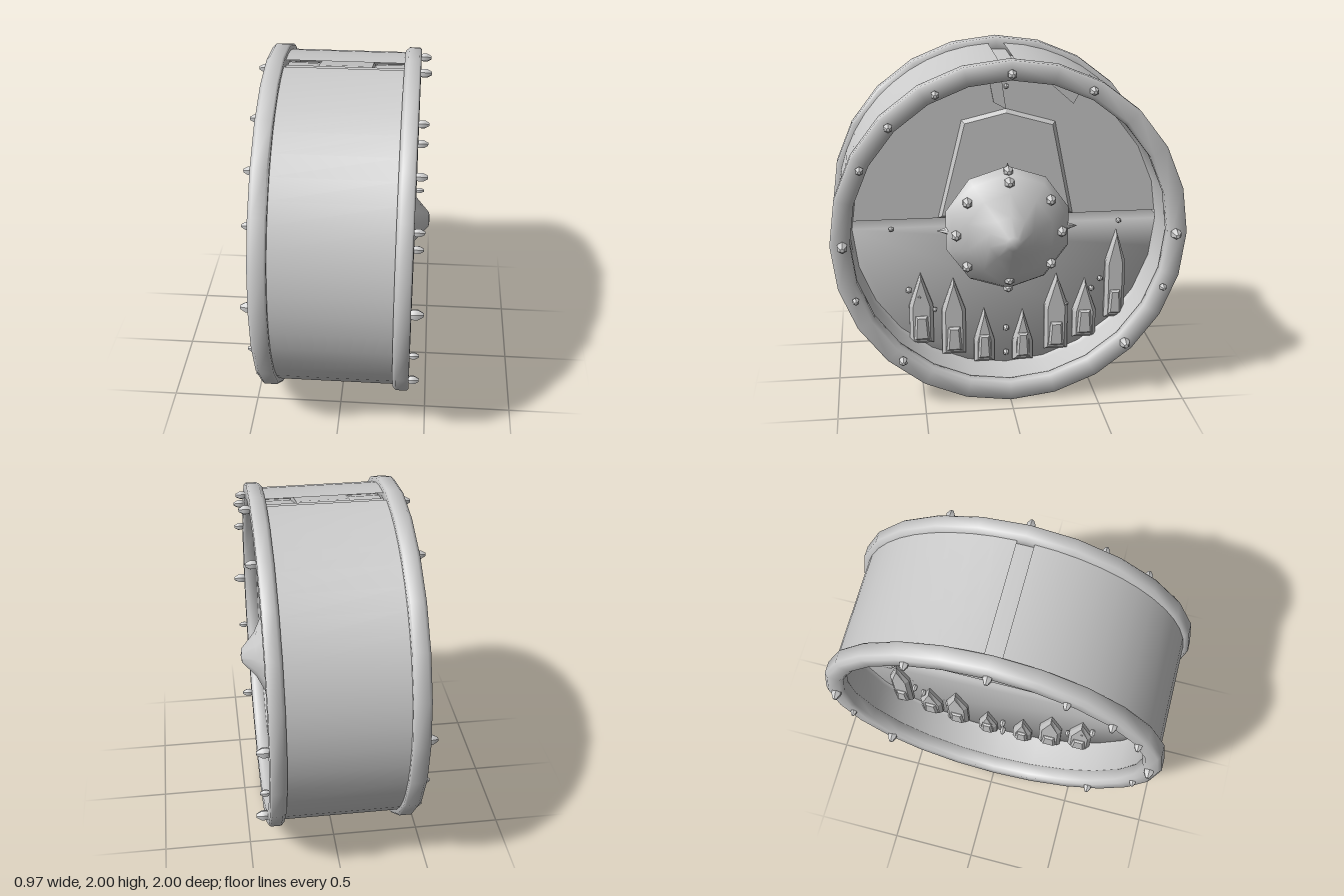
import * as THREE from 'three';
import { toCreasedNormals } from 'three/addons/utils/BufferGeometryUtils.js';

const grey = new THREE.MeshStandardMaterial({ color: 0xcccccc, side: THREE.DoubleSide });

function add(group, name, geometry) {
  const mesh = new THREE.Mesh(geometry, grey);
  mesh.name = name;
  group.add(mesh);
  return mesh;
}

// Revolves [radius, x] points around the x axis; start 0 is the top
function turned(points, segments, start = 0, length = Math.PI * 2) {
  const g = new THREE.LatheGeometry(points.map(([r, x]) => new THREE.Vector2(r, x)), segments, start - Math.PI / 2, length);
  return g.rotateZ(-Math.PI / 2);
}

// Extrudes a [z, y] outline along x, from x0 to x1
function slab(points, x0, x1, bevel = 0) {
  const shape = new THREE.Shape(points.map(([z, y]) => new THREE.Vector2(-z, y)));
  const g = new THREE.ExtrudeGeometry(shape, {
    depth: x1 - x0 - 2 * bevel, bevelEnabled: bevel > 0, bevelSize: bevel, bevelThickness: bevel, bevelOffset: -bevel, bevelSegments: 1,
  });
  return g.rotateY(Math.PI / 2).translate(x0 + bevel, 0, 0);
}

export function createModel() {
  const model = new THREE.Group();
  const wheel = new THREE.Group();
  wheel.name = 'wheel';
  wheel.position.y = 1;
  model.add(wheel);

  // Rounded rims on both ends
  for (const [x0, x1] of [[-0.44, -0.34], [0.31, 0.40]]) {
    const c = 0.02;
    const profile = [[0.89, x0 + c], [0.91, x0], [0.98, x0], [1, x0 + c], [1, x1 - c / 2], [0.99, x1], [0.91, x1], [0.89, x1 - c], [0.89, x0 + c]];
    add(wheel, 'rim', toCreasedNormals(turned(profile, 24), 1.1));
  }

  // Drum wall with a narrow slot along the top, and the floor of the slot
  add(wheel, 'drumWall', turned([[0.985, -0.36], [0.965, -0.35], [0.965, 0.32], [0.985, 0.33]], 48, 0.05, Math.PI * 2 - 0.095));
  add(wheel, 'slotFloor', turned([[0.93, -0.36], [0.93, 0.33]], 2, -0.06, 0.12));

  // Liner on both sides of the partition, rounded into its corner
  add(wheel, 'drumLiner', turned([[0.88, -0.172], [0.897, -0.19], [0.897, -0.38]], 24));
  add(wheel, 'drumLiner', turned([[0.897, 0.35], [0.897, 0.15], [0.88, 0.132]], 24));

  // Two thick half discs with a gap between them
  const half = (sign, cut) => {
    const a = Math.asin(cut / 0.9), pts = [];
    for (let i = 0; i <= 16; i++) {
      const t = a + (Math.PI - 2 * a) * i / 16;
      pts.push([Math.cos(t) * 0.9, Math.sin(t) * 0.9 * sign]);
    }
    return slab(pts, -0.17, 0.13);
  };
  add(wheel, 'upperPartition', half(1, 0.05));
  add(wheel, 'lowerPartition', toCreasedNormals(half(-1, 0), 1.7));

  // Low tapered housing above the hub, with broken ridges over it
  add(wheel, 'hubHousing', slab([[0.39, 0.05], [-0.39, 0.05], [-0.28, 0.6], [0, 0.68], [0.25, 0.62]], 0.09, 0.15, 0.02));
  add(wheel, 'ridge', slab([[0.10, 0.88], [0.03, 0.88], [0, 0.68], [0.07, 0.72]], 0.1, 0.145));
  add(wheel, 'ridge', slab([[-0.2, 0.86], [-0.42, 0.77], [-0.38, 0.7]], 0.1, 0.145));

  // Faceted domed hub
  add(wheel, 'hub', toCreasedNormals(turned([[0.3, 0.12], [0.36, 0.18], [0.37, 0.21], [0.34, 0.27], [0.25, 0.34], [0.13, 0.40], [0.04, 0.48], [0, 0.485]], 10), 0.7));

  // Small spikes on the hub's edge
  for (const a of [0, Math.PI / 2, Math.PI]) {
    const spike = add(wheel, 'hubSpike', new THREE.ConeGeometry(0.045, 0.12, 6));
    spike.position.set(0.21, Math.sin(a) * 0.33, Math.cos(a) * 0.345);
    spike.rotation.x = Math.PI / 2 - a;
  }

  // Pointed pickets on both faces of the lower partition: [z, half width, top, bottom]
  const pickets = [
    [0.50, 0.07, -0.28, -0.72], [0.31, 0.07, -0.32, -0.80], [0.13, 0.06, -0.52, -0.86], [-0.10, 0.06, -0.54, -0.86],
    [-0.30, 0.07, -0.32, -0.80], [-0.47, 0.07, -0.36, -0.73], [-0.65, 0.06, -0.06, -0.61],
  ];
  for (const [z, w, top, bottom] of pickets) {
    const outline = [[z - w, bottom], [z - w, top - 0.2], [z, top], [z + w, top - 0.2], [z + w, bottom]];
    add(wheel, 'picket', slab(outline, -0.21, 0.17, 0.02));
    // Raised panel at the foot of each picket
    const foot = bottom + 0.03;
    add(wheel, 'picketPanel', slab([[z - w * 0.65, foot], [z + w * 0.65, foot], [z + w * 0.5, foot + 0.15], [z - w * 0.5, foot + 0.15]], -0.225, 0.185, 0.012));
  }

  // Bluntly pointed stud along x
  const stud = toCreasedNormals(turned([[0.7, -1], [1, -0.4], [1, 0.5], [0.4, 1.5], [0, 1.5]], 6), 0.5);
  const addStud = (name, side, x, y, z, r) => {
    const m = add(wheel, name, stud);
    m.position.set(x, y, z);
    m.scale.setScalar(r);
    if (side < 0) m.rotation.y = Math.PI;
  };

  // Rim studs: [z, y, radius]
  const rimStuds = [
    [0, 0.93, 0.026], [0.41, 0.83, 0.023], [0.66, 0.66, 0.025], [0.82, 0.43, 0.023], [0.93, 0, 0.03], [0.87, -0.32, 0.02],
    [0.62, -0.70, 0.025], [-0.66, -0.66, 0.03], [-0.87, -0.32, 0.02], [-0.93, 0, 0.03], [-0.44, 0.83, 0.025],
  ];
  // Small studs on the partition faces
  const faceStuds = [
    [0, 0.81, 0.015], [0.66, 0, 0.015], [-0.66, 0, 0.015], [0, -0.65, 0.018], [0, -0.81, 0.018],
    [0.57, -0.38, 0.018], [0.51, -0.42, 0.016], [0.42, -0.51, 0.014], [-0.51, -0.42, 0.016], [-0.56, -0.36, 0.016], [-0.36, -0.51, 0.012],
  ];
  for (const side of [-1, 1]) {
    for (const [z, y, r] of rimStuds) addStud('rimStud', side, side > 0 ? 0.42 : -0.44, y, z, r);
    for (const [z, y, r] of faceStuds) addStud('faceStud', side, side > 0 ? 0.15 : -0.19, y, z, r);
  }

  // Studs around the hub: [z, y, x]
  const hubStuds = [
    [0, 0.3, 0.3], [0, 0.35, 0.24], [0, -0.28, 0.3], [0, -0.35, 0.24], [0.3, 0, 0.3], [-0.3, 0, 0.3],
    [0.235, 0.19, 0.3], [-0.235, 0.19, 0.3], [0.24, -0.19, 0.3], [-0.24, -0.19, 0.3],
  ];
  for (const [z, y, x] of hubStuds) addStud('hubStud', 1, x, y, z, 0.029);
  return model;
}
